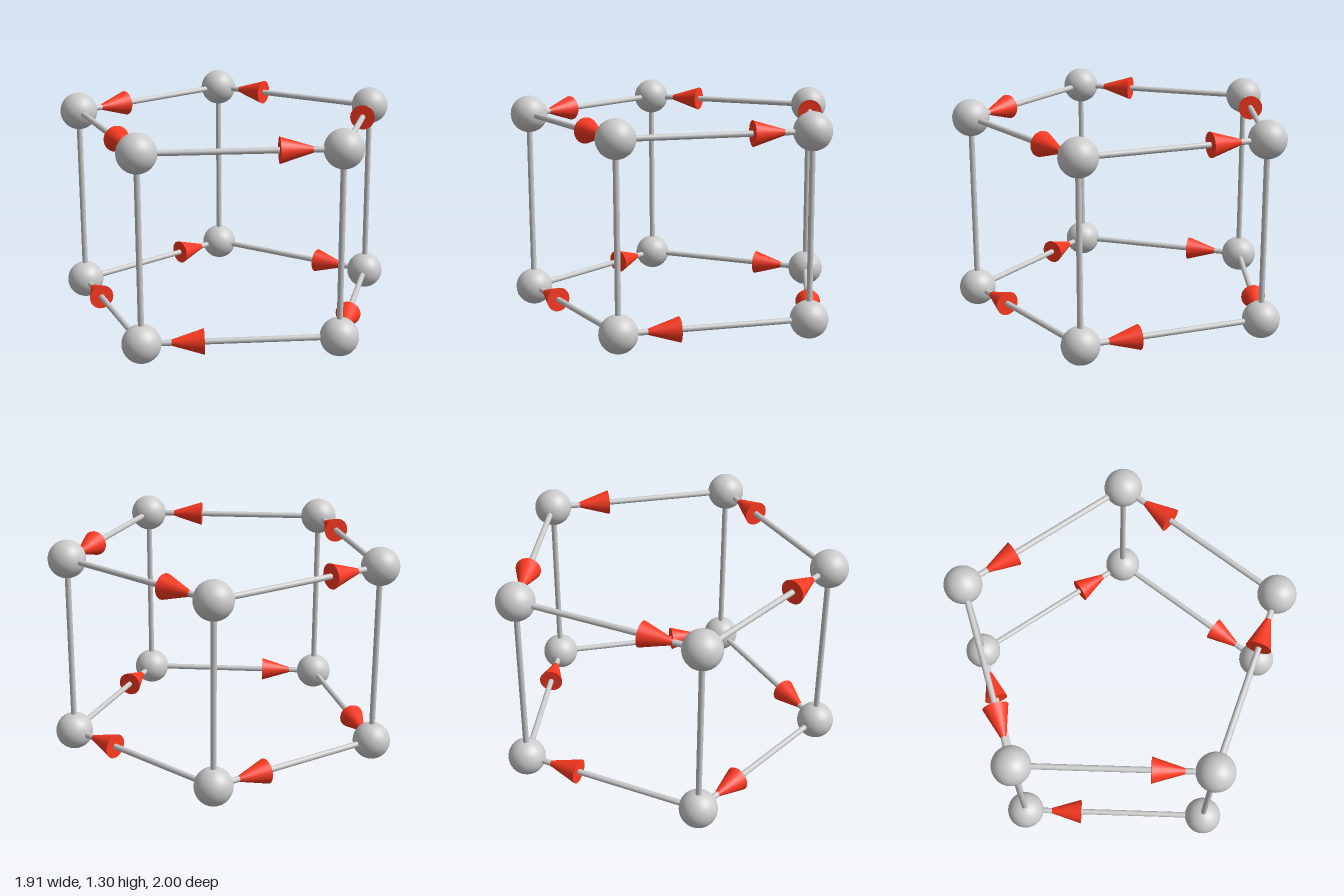
import * as THREE from 'three';

const grey = new THREE.MeshStandardMaterial({ color: 0xcccccc });
const red = new THREE.MeshStandardMaterial({ color: 0xff3a22 });

const BALL = 0.11, ROD = 0.017, RING = 0.936, CENTRE_X = -0.09;
const CONE_RADIUS = 0.073, CONE_LENGTH = 0.235;
const LOW = 0.11, HIGH = 1.19;

const ballGeometry = new THREE.SphereGeometry(BALL, 32, 24);
const coneGeometry = new THREE.ConeGeometry(CONE_RADIUS, CONE_LENGTH, 32);
const UP = new THREE.Vector3(0, 1, 0);

function createRod(name, from, to) {
  const span = to.clone().sub(from);
  const rod = new THREE.Mesh(new THREE.CylinderGeometry(ROD, ROD, span.length(), 16), grey);
  rod.name = name;
  rod.position.copy(from).add(to).multiplyScalar(0.5);
  rod.quaternion.setFromUnitVectors(UP, span.normalize());
  return rod;
}

// Rod with a cone whose tip touches the target ball
function createArrow(from, to) {
  const arrow = new THREE.Group();
  arrow.name = 'arrow';
  const direction = to.clone().sub(from).normalize();
  const head = new THREE.Mesh(coneGeometry, red);
  head.name = 'arrowHead';
  head.position.copy(to).addScaledVector(direction, -(BALL + CONE_LENGTH / 2));
  head.quaternion.setFromUnitVectors(UP, direction);
  arrow.add(createRod('arrowShaft', from, to), head);
  return arrow;
}

// Corners of one pentagon, the first pointing to +x
function pentagon(y) {
  return Array.from({ length: 5 }, (_, i) => {
    const a = (i * Math.PI * 2) / 5;
    return new THREE.Vector3(CENTRE_X + RING * Math.cos(a), y, RING * Math.sin(a));
  });
}

export function createModel() {
  const model = new THREE.Group();
  model.name = 'pentagonalPrismGraph';
  const lower = pentagon(LOW), upper = pentagon(HIGH);

  for (const p of [...lower, ...upper]) {
    const ball = new THREE.Mesh(ballGeometry, grey);
    ball.name = 'ball';
    ball.position.copy(p);
    model.add(ball);
  }

  // The two rings of arrows run in opposite directions
  for (let i = 0; i < 5; i++) {
    const next = (i + 1) % 5;
    model.add(
      createArrow(lower[i], lower[next]),
      createArrow(upper[next], upper[i]),
      createRod('upright', lower[i], upper[i])
    );
  }
  return model;
}
